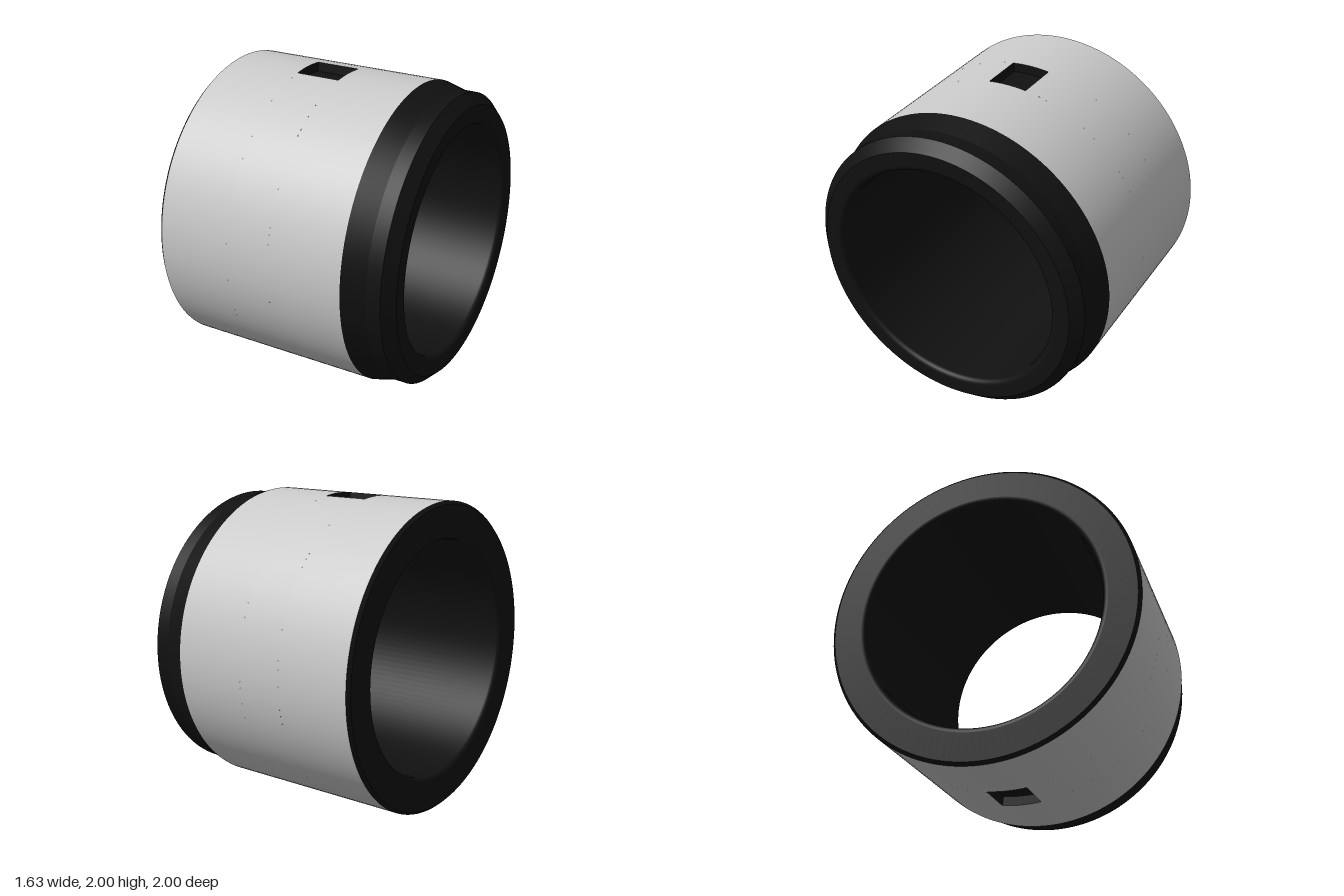
import * as THREE from 'three';
import { mergeGeometries } from 'three/addons/utils/BufferGeometryUtils.js';

const SEG = 128;
const TAU = Math.PI * 2;
const FLOOR = 0.94;                  // radius of the window floor
const WIN = [-0.3, 0];               // window extent along the axis
const HALF = 0.13;                   // half width of a window
const ANG = Math.asin(HALF);         // half angle of a window

// Revolve a run of [x, radius] points around the x axis; each run is smooth.
function revolve(run, start = 0, length = TAU) {
  const pts = run.map(([x, r]) => new THREE.Vector2(r, x));
  const seg = Math.max(8, Math.round(SEG * length / TAU));
  return new THREE.LatheGeometry(pts, seg, start, length).rotateZ(-Math.PI / 2);
}

// Revolve every straight piece separately, so the edges between them stay sharp.
function revolveSharp(points, start, length) {
  return points.slice(1).map((p, i) => revolve([points[i], p], start, length));
}

// Quarter-round bore edge
function fillet(cx, cr, rad, from) {
  return Array.from({ length: 7 }, (_, i) => {
    const a = from - (i / 6) * Math.PI / 2;
    return [cx + rad * Math.cos(a), cr + rad * Math.sin(a)];
  });
}

export function createModel() {
  const group = new THREE.Group();
  const grey = new THREE.MeshStandardMaterial({ color: 0xcccccc });
  const black = new THREE.MeshStandardMaterial({ color: 0x111111 });
  const blackThin = new THREE.MeshStandardMaterial({ color: 0x111111, side: THREE.DoubleSide });

  function add(name, parts, material) {
    const mesh = new THREE.Mesh(mergeGeometries(parts), material);
    mesh.name = name;
    mesh.position.y = 1;
    group.add(mesh);
  }

  // Tapered collar with a chamfered end face
  add('taperedCollar', revolveSharp([
    [0.5, 1], [0.65, 0.96], [0.745, 0.96], [0.815, 0.89], [0.815, 0.8],
  ]), black);

  // Bore with rounded edges at both ends
  add('bore', [revolve([
    ...fillet(0.78, 0.8, 0.035, 0),
    ...fillet(-0.78, 0.8, 0.035, -Math.PI / 2),
  ])], black);

  // Plain end face and its small chamfer
  add('endRim', revolveSharp([[-0.815, 0.8], [-0.815, 0.98], [-0.795, 1]]), black);

  // Outer sleeve, left open where the two windows sit
  const gap = Math.PI - 2 * ANG;
  add('outerSleeve', [
    revolve([[-0.795, 1], [WIN[0], 1]]),
    revolve([[WIN[0], 1], [WIN[1], 1]], Math.PI / 2 + ANG, gap),
    revolve([[WIN[0], 1], [WIN[1], 1]], -Math.PI / 2 + ANG, gap),
    revolve([[WIN[1], 1], [0.5, 1]]),
  ], grey);

  // Recessed windows at top and bottom: floor, end walls and side walls
  for (const [name, mid] of [['topWindow', 1.5 * Math.PI], ['bottomWindow', 0.5 * Math.PI]]) {
    const parts = revolveSharp(
      [[WIN[0], 1], [WIN[0], FLOOR], [WIN[1], FLOOR], [WIN[1], 1]], mid - ANG, 2 * ANG);
    for (const side of [-1, 1]) {
      const wall = new THREE.PlaneGeometry(WIN[1] - WIN[0], 1 - FLOOR);
      wall.translate((WIN[0] + WIN[1]) / 2, (1 + FLOOR) / 2, 0);
      wall.rotateX(side * ANG + (name === 'topWindow' ? 0 : Math.PI));
      parts.push(wall);
    }
    add(name, parts, blackThin);
  }

  return group;
}
